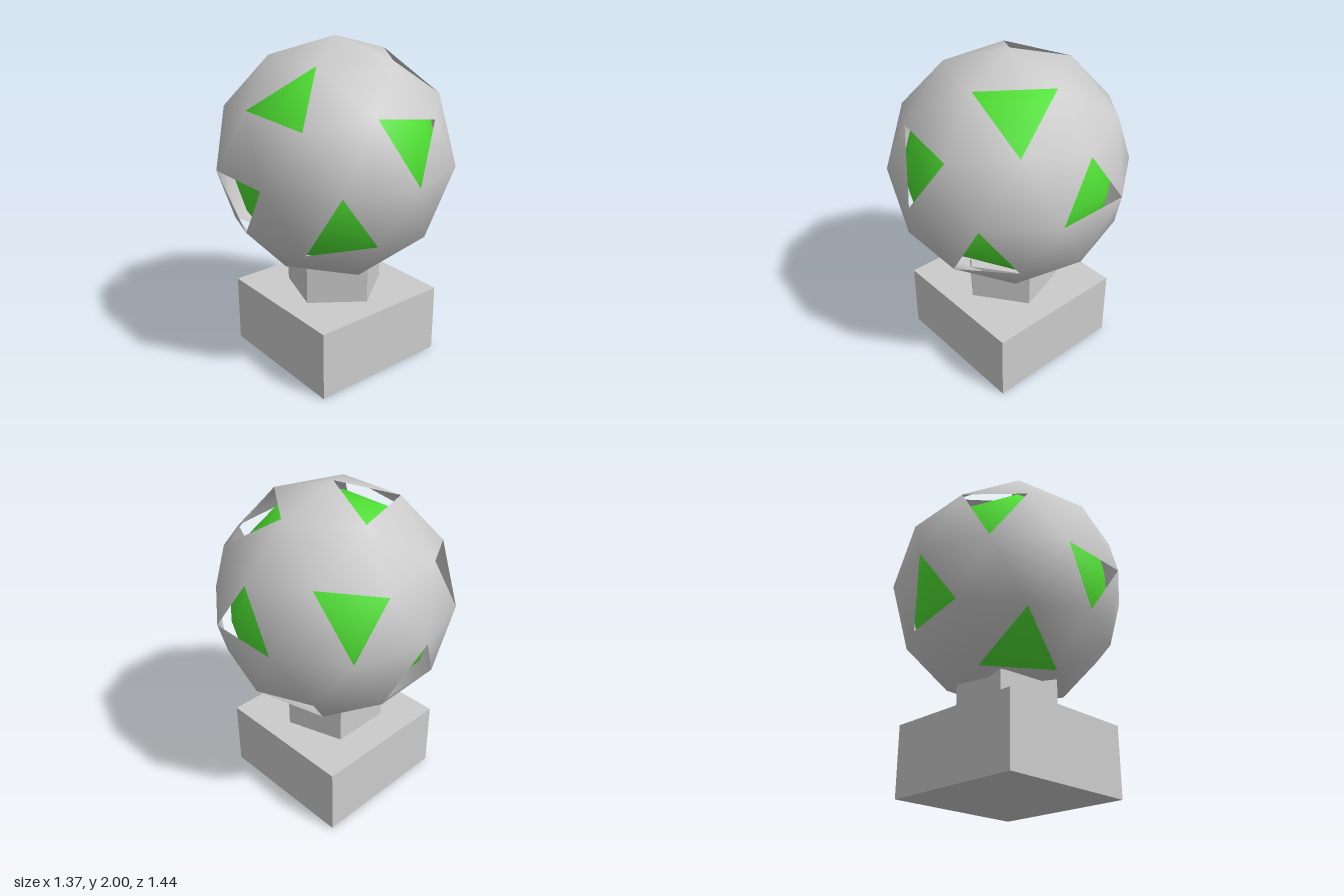
import * as THREE from 'three';

const SEGMENT = (Math.PI * 2) / 5;

// Unit icosahedron standing on a vertex: two poles and two rings of five
const pole = new THREE.Vector3(0, 1, 0);
const base = new THREE.Vector3(0, -1, 0);
const ring = (k, offset, y) => {
  const a = (k + offset) * SEGMENT, r = 2 / Math.sqrt(5);
  return new THREE.Vector3(r * Math.cos(a), y / Math.sqrt(5), r * Math.sin(a));
};
const upper = (k) => ring(k % 5, 0, 1);
const lower = (k) => ring(k % 5, 0.5, -1);

// Which quarter of each large face is open: 0-2 a corner, 3 the centre, -1 none
const HOLES = {
  cap: [3, -1, 1, 0, -1],
  upperBand: [-1, 0, 2, 0, 0],
  lowerBand: [0, 0, -1, 0, 2],
  bottom: [0, -1, 3, -1, 1],
};

// Icosahedron split once, pushed out to a sphere, smooth normals
function ballGeometry(radius, holes) {
  const positions = [], normals = [];

  const addTriangle = (a, b, c) => {
    const n = b.clone().sub(a).cross(c.clone().sub(a));
    const corners = n.dot(a) > 0 ? [a, b, c] : [a, c, b];
    for (const v of corners) {
      positions.push(v.x * radius, v.y * radius, v.z * radius);
      normals.push(v.x, v.y, v.z);
    }
  };
  const middle = (a, b) => a.clone().add(b).normalize();

  const addFace = (a, b, c, hole) => {
    const ab = middle(a, b), bc = middle(b, c), ca = middle(c, a);
    const quarters = [[a, ab, ca], [b, bc, ab], [c, ca, bc], [ab, bc, ca]];
    quarters.forEach((q, i) => { if (i !== hole) addTriangle(...q); });
  };

  for (let k = 0; k < 5; k++) {
    const open = (band) => (holes ? holes[band][k] : -1);
    addFace(pole, upper(k), upper(k + 1), open('cap'));
    addFace(upper(k), upper(k + 1), lower(k), open('upperBand'));
    addFace(lower(k), lower(k + 1), upper(k + 1), open('lowerBand'));
    addFace(base, lower(k), lower(k + 1), open('bottom'));
  }

  const geometry = new THREE.BufferGeometry();
  geometry.setAttribute('position', new THREE.Float32BufferAttribute(positions, 3));
  geometry.setAttribute('normal', new THREE.Float32BufferAttribute(normals, 3));
  return geometry;
}

export function createModel() {
  const model = new THREE.Group();
  model.name = 'ornamentalOrb';

  const grey = new THREE.MeshStandardMaterial({ color: 0xcccccc, flatShading: true });
  const shellGrey = new THREE.MeshStandardMaterial({ color: 0xcccccc, side: THREE.DoubleSide });
  const green = new THREE.MeshStandardMaterial({ color: 0x4fe033 });

  const add = (name, geometry, material, y) => {
    const mesh = new THREE.Mesh(geometry, material);
    mesh.name = name;
    mesh.position.y = y;
    model.add(mesh);
  };

  // Square plinth and five-sided neck
  add('plinth', new THREE.BoxGeometry(0.895, 0.43, 0.895), grey, 0.215);
  add('neck', new THREE.CylinderGeometry(0.31, 0.31, 0.235, 5), grey, 0.5425);

  // Pierced shell around a closed core
  add('shell', ballGeometry(0.72, HOLES), shellGrey, 1.28);
  add('core', ballGeometry(0.635, null), green, 1.28);

  return model;
}
